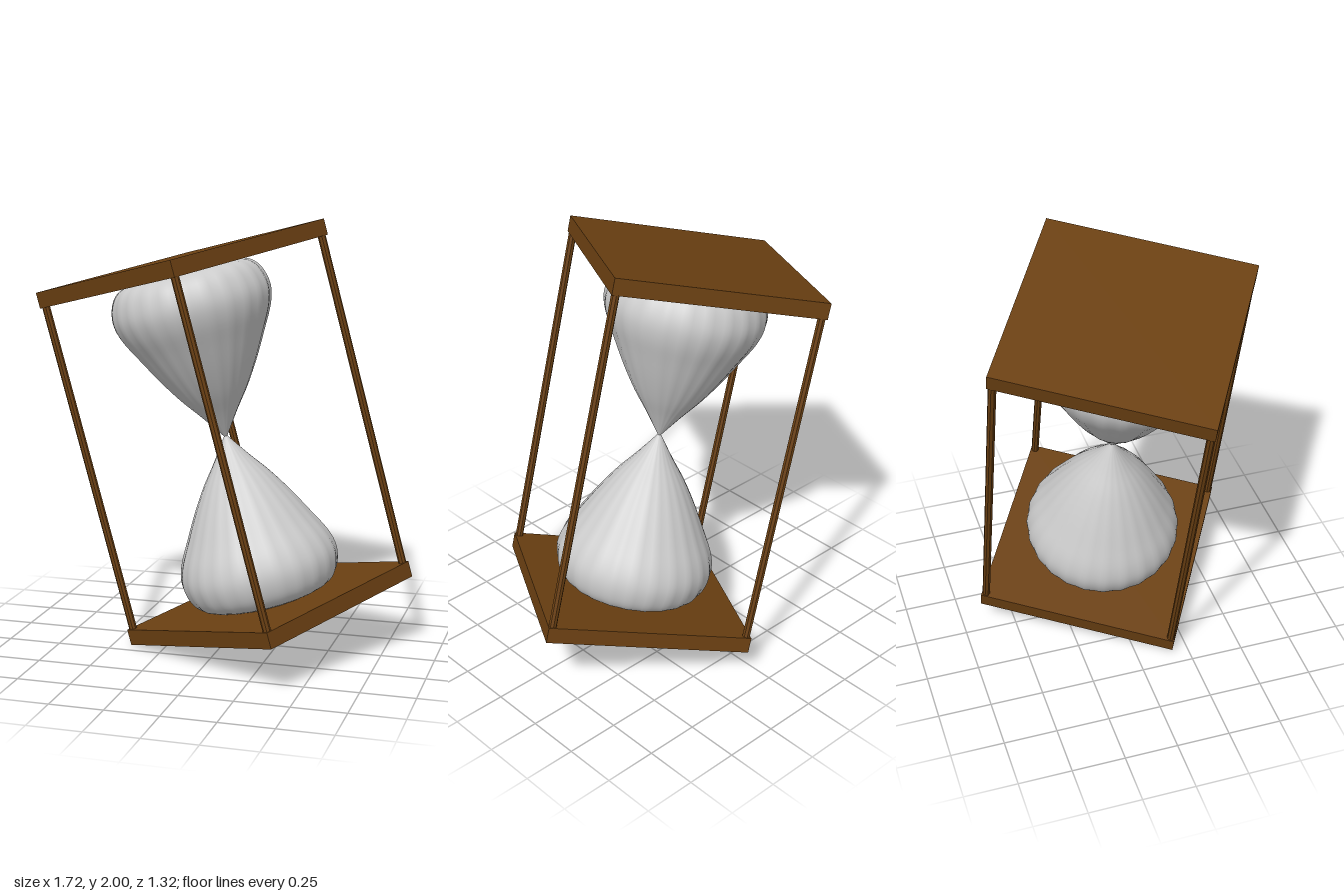
import * as THREE from 'three';
import { mergeVertices } from 'three/addons/utils/BufferGeometryUtils.js';

const SIDE = 0.965, HALF_HEIGHT = 0.858, PLATE = 0.075;
const INNER = HALF_HEIGHT - PLATE;
const POST_INSET = 0.462, POST_RADIUS = 0.0185;

// Lathed bulb hanging below its neck, with faint vertical flutes
function bulbGeometry() {
  const profile = new THREE.SplineCurve([
    [0.25, -0.786], [0.315, -0.762], [0.355, -0.71], [0.372, -0.63], [0.352, -0.545],
    [0.297, -0.44], [0.23, -0.32], [0.16, -0.21], [0.085, -0.11], [0.008, 0],
  ].map(([r, y]) => new THREE.Vector2(r, y))).getPoints(36);
  const lathe = new THREE.LatheGeometry([new THREE.Vector2(0, -0.786), ...profile], 96);
  const pos = lathe.attributes.position;
  for (let i = 0; i < pos.count; i++) {
    const x = pos.getX(i), z = pos.getZ(i);
    const flute = 1 + 0.008 * Math.cos(24 * Math.atan2(z, x));
    pos.setXYZ(i, x * flute, pos.getY(i), z * flute);
  }
  // Weld the seam so the shading stays smooth all round
  lathe.deleteAttribute('uv');
  lathe.deleteAttribute('normal');
  const geometry = mergeVertices(lathe, 1e-5);
  geometry.computeVertexNormals();
  return geometry;
}

export function createModel() {
  const wood = new THREE.MeshStandardMaterial({ color: 0x6b4012 });
  const woodFaceted = new THREE.MeshStandardMaterial({ color: 0x6b4012, flatShading: true });
  const glass = new THREE.MeshStandardMaterial({ color: 0xcccccc, side: THREE.DoubleSide });

  const hourglass = new THREE.Group();
  hourglass.name = 'hourglass';
  const add = (name, geometry, material) => {
    const mesh = new THREE.Mesh(geometry, material);
    mesh.name = name;
    hourglass.add(mesh);
    return mesh;
  };

  // Square end plates
  const plate = new THREE.BoxGeometry(SIDE, PLATE, SIDE);
  add('topPlate', plate, wood).position.y = HALF_HEIGHT - PLATE / 2;
  add('bottomPlate', plate, wood).position.y = -HALF_HEIGHT + PLATE / 2;

  // Four thin corner posts
  const post = new THREE.CylinderGeometry(POST_RADIUS, POST_RADIUS, INNER * 2 + 0.02, 8);
  for (const sx of [-1, 1]) {
    for (const sz of [-1, 1]) {
      add('cornerPost', post, woodFaceted).position.set(sx * POST_INSET, 0, sz * POST_INSET);
    }
  }

  // Two bulbs meeting at a pinched neck
  const bulb = bulbGeometry();
  add('lowerBulb', bulb, glass);
  add('upperBulb', bulb, glass).rotation.x = Math.PI;

  // Turned about its own axis, then tipped onto one corner
  hourglass.rotation.set(0, -Math.PI / 6, Math.PI / 12, 'ZYX');
  hourglass.position.y = 1;

  const model = new THREE.Group();
  model.name = 'tiltedHourglass';
  model.add(hourglass);
  return model;
}
